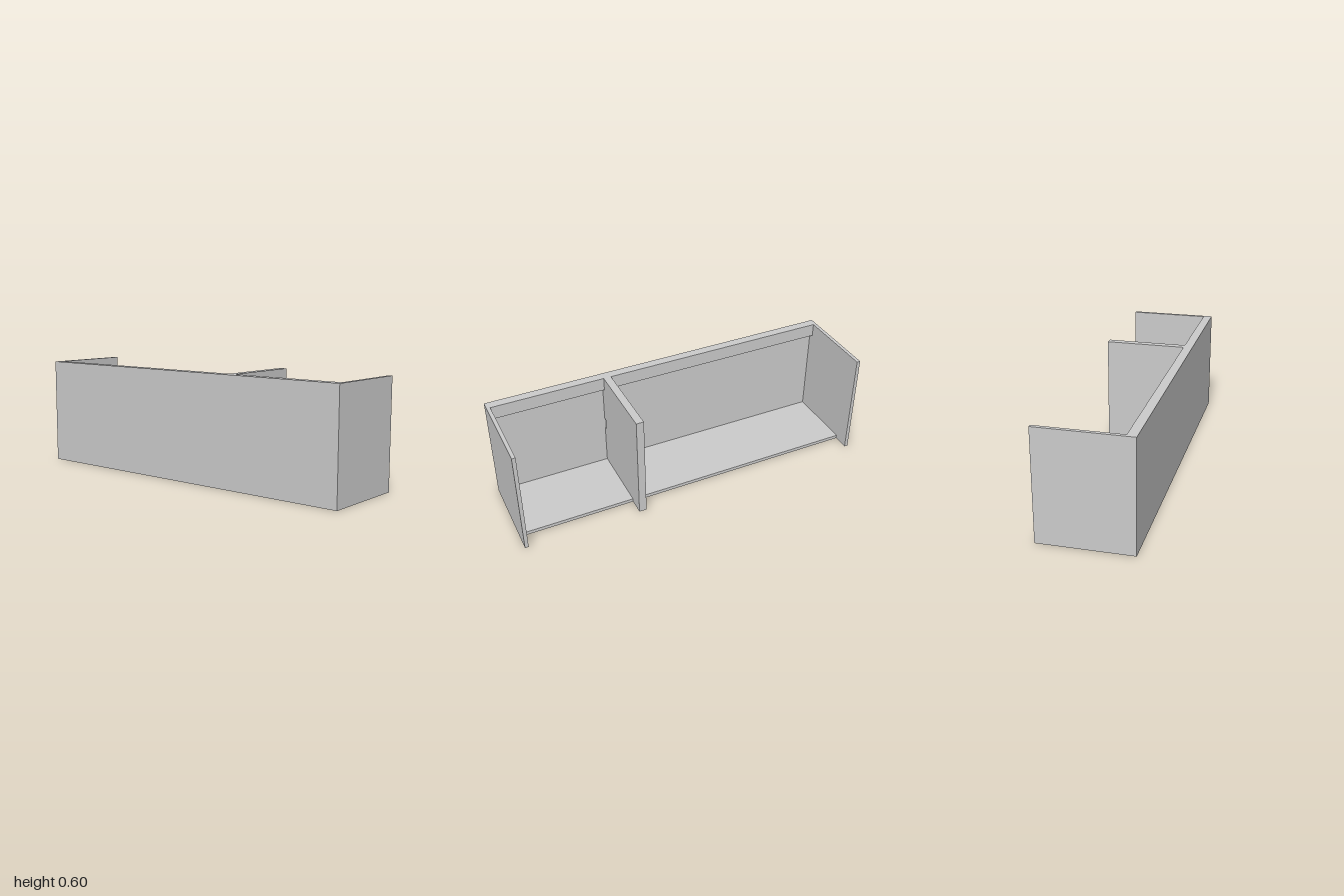
import * as THREE from 'three';

const HEIGHT = 0.6, BACK = -0.25, FRONT = 0.25;
const PANEL_BACK = 0.226;          // inner face of the front panel
const SIDE = 0.02;                 // side panel thickness
const DIVIDER = [0.311, 0.353];    // x range of the divider

export function createModel() {
  const group = new THREE.Group();
  group.name = 'counter';
  const material = new THREE.MeshStandardMaterial({ color: 0xcccccc });

  const add = (name, geometry) => {
    const mesh = new THREE.Mesh(geometry, material);
    mesh.name = name;
    group.add(mesh);
    return mesh;
  };
  // Box given by its ranges on each axis
  const board = (name, [x0, x1], [y0, y1], [z0, z1]) =>
    add(name, new THREE.BoxGeometry(x1 - x0, y1 - y0, z1 - z0))
      .position.set((x0 + x1) / 2, (y0 + y1) / 2, (z0 + z1) / 2);

  // Outer shell
  board('frontPanel', [-1, 1], [0, HEIGHT], [PANEL_BACK, FRONT]);
  board('rightSide', [-1, -1 + SIDE], [0, HEIGHT], [BACK, PANEL_BACK]);
  board('leftSide', [1 - SIDE, 1], [0, HEIGHT], [BACK, PANEL_BACK]);

  // Each bay has a bottom shelf and a rail under the top edge
  const bays = { right: [-1 + SIDE, DIVIDER[0]], left: [DIVIDER[1], 1 - SIDE] };
  for (const [side, span] of Object.entries(bays)) {
    board(side + 'Shelf', span, [0, 0.02], [-0.16, PANEL_BACK]);
    board(side + 'Rail', span, [0.525, HEIGHT], [0.2, PANEL_BACK]);
  }

  // Divider with a cable notch in its front edge; profile drawn as (-z, y)
  const notch = 0.21;
  const profile = [
    [PANEL_BACK, 0], [BACK, 0], [BACK, HEIGHT], [PANEL_BACK, HEIGHT],
    [PANEL_BACK, 0.315], [notch, 0.315], [notch, 0.25], [PANEL_BACK, 0.25],
  ].map(([z, y]) => new THREE.Vector2(-z, y));
  const divider = add('divider', new THREE.ExtrudeGeometry(new THREE.Shape(profile), {
    depth: DIVIDER[1] - DIVIDER[0], bevelEnabled: false,
  }));
  divider.rotation.y = Math.PI / 2;
  divider.position.x = DIVIDER[0];

  return group;
}
